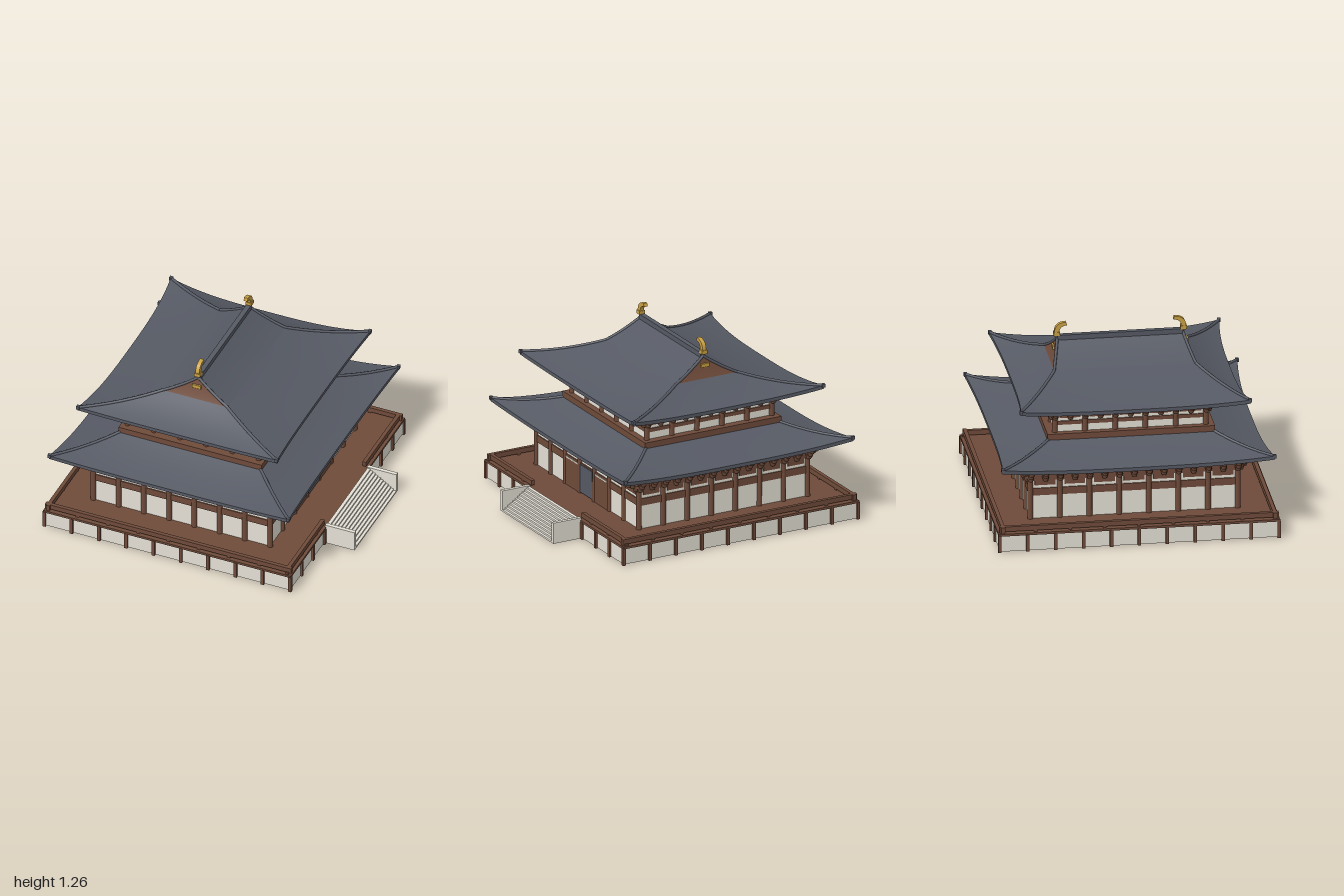
import * as THREE from 'three';
import { mergeGeometries } from 'three/addons/utils/BufferGeometryUtils.js';

const mat = (name, color) => Object.assign(new THREE.MeshStandardMaterial({ color }), { name });

export function createModel() {
  const timber = mat('brown timber', 0x6f4b3a);
  const tile = mat('slate tile', 0x565a64);
  const plaster = mat('pale plaster', 0xe5e1d6);
  const gold = mat('gold', 0xcba244);
  const model = new THREE.Group();
  const hall = new THREE.Group();
  hall.name = 'hall';
  hall.position.x = -0.1;
  model.add(hall);

  const add = (name, geo, material, parent = hall) => {
    const m = new THREE.Mesh(geo, material);
    m.name = name;
    parent.add(m);
    return m;
  };
  const merge = (name, list, material, parent) => add(name, mergeGeometries(list), material, parent);
  // box given by its centre in x and z and its bottom and top height
  const block = (w, d, y0, y1, x = 0, z = 0) =>
    new THREE.BoxGeometry(w, y1 - y0, d).translate(x, (y0 + y1) / 2, z);
  const spread = (n, half) => Array.from({ length: n }, (_, i) => -half + (2 * half * i) / (n - 1));
  // the four sides: 0 front, 1 left, 2 back, 3 right
  const sides = (hx, hz) => [0, 1, 2, 3].map(k => ({
    k, along: k % 2 ? hz : hx, out: k % 2 ? hx : hz, angle: (k * Math.PI) / 2,
  }));
  const lerp = THREE.MathUtils.lerp;
  const mix = (a, b, t) => a.map((c, i) => lerp(c, b[i], t));

  // surface patch from a rule f(u in -1..1, v in 0..1), turned to its side
  const patch = (f, angle, nu = 24, nv = 8) => {
    const pos = [], idx = [];
    for (let j = 0; j <= nv; j++) for (let i = 0; i <= nu; i++) pos.push(...f((2 * i) / nu - 1, j / nv));
    for (let j = 0; j < nv; j++) for (let i = 0; i < nu; i++) {
      const a = j * (nu + 1) + i, b = a + nu + 1;
      idx.push(a, a + 1, b + 1, a, b + 1, b);
    }
    const g = new THREE.BufferGeometry();
    g.setAttribute('position', new THREE.Float32BufferAttribute(pos, 3));
    g.setIndex(idx);
    g.computeVertexNormals();
    return g.rotateY(angle);
  };

  // ---- platform: hollow plinth of panels and posts under a deck ----
  add('platformDeck', block(1.79, 1.884, 0.115, 0.131), timber);
  const panels = [], posts = [], rails = [];
  for (const s of sides(0.888, 0.934)) {
    panels.push(block(2 * s.along, 0.01, 0.004, 0.115, 0, s.out - 0.008).rotateY(s.angle));
    for (const p of spread(s.k % 2 ? 11 : 10, s.along))
      posts.push(block(0.022, 0.022, 0, 0.12, p, s.out).rotateY(s.angle));
    // low railing, open where the stairs arrive
    const edge = s.along - 0.012, open = s.k === 1;
    for (const p of spread(9, edge)) if (!open || Math.abs(p) > 0.34)
      rails.push(block(0.022, 0.022, 0.13, 0.145, p, s.out - 0.024).rotateY(s.angle));
    for (const c of open ? [-1, 1] : [0])
      rails.push(block(open ? edge - 0.34 : 2 * edge + 0.026, 0.026, 0.141, 0.175, c * (edge + 0.34) / 2, s.out - 0.024)
        .rotateY(s.angle));
  }
  merge('platformPanels', panels, plaster);
  merge('platformPosts', posts, timber);
  merge('railing', rails, timber);

  // ---- stairs ----
  const steps = [], n = 11, w = 0.205 / n;
  for (let i = 0; i < n; i++) {
    const top = 0.138 * (1 - i / n);
    steps.push(block(w + 0.004, 0.67, Math.max(0, top - 0.016), top, 0.795 + (i + 0.5) * w - 0.002));
  }
  merge('steps', steps, plaster, model);
  merge('stairCheeks', [-1, 1].map(s => block(0.212, 0.026, 0, 0.146, 0.894, s * 0.345)), plaster, model);

  // ---- storeys: plaster walls, columns, beams and stepped brackets ----
  function storey(name, hx, hz, cols, h) {
    const g = new THREE.Group();
    g.name = name;
    hall.add(g);
    const ring = (grow, y0, y1) => block(2 * (hx + grow), 2 * (hz + grow), y0, y1);
    add('walls', ring(0, h.base, h.top + 0.01), plaster, g);
    merge('beams', [ring(0.008, ...h.beam), ring(0.008, h.frieze, h.top + 0.012)], timber, g);
    const columns = [], planks = [], brackets = [];
    for (const s of sides(hx, hz)) {
      const place = (wide, depth, y0, y1, p, o) => block(wide, depth, y0, y1, p, s.out + o).rotateY(s.angle);
      const cup = (y, p, o) => new THREE.CylinderGeometry(0.024, 0.015, 0.03, 10)
        .translate(p, y, s.out + o).rotateY(s.angle);
      const gap = (2 * s.along) / (cols - 1);
      spread(cols, s.along).slice(0, -1).forEach(p => {
        columns.push(new THREE.CylinderGeometry(0.018, 0.019, h.top - h.base, 12)
          .translate(p, (h.top + h.base) / 2, s.out).rotateY(s.angle));
        planks.push(place(gap - 0.06, 0.016, h.plank, h.frieze + 0.005, p + gap / 2, 0));
      });
      for (const p of spread(2 * cols - 1, s.along)) {
        brackets.push(
          place(0.04, 0.09, h.top - 0.03, h.top, p, 0.04),
          place(0.034, 0.06, h.top - 0.06, h.top - 0.03, p, 0.025),
          place(0.034, 0.035, h.top - 0.095, h.top - 0.06, p, 0.012),
          cup(h.top - 0.045, p, 0.068), cup(h.top - 0.072, p, 0.045), cup(h.top - 0.098, p, 0.022));
      }
      // diagonal corner arm
      [[0.2, 0.03], [0.14, 0.06], [0.08, 0.09]].forEach(([len, d]) =>
        brackets.push(block(len, 0.03, h.top - d, h.top - d + 0.03).rotateY(-Math.PI / 4)
          .translate(s.along, 0, s.out).rotateY(s.angle)));
    }
    merge('columns', columns, timber, g);
    merge('hangingPlanks', planks, timber, g);
    merge('brackets', brackets, timber, g);
  }
  storey('lowerStorey', 0.639, 0.694, 8, { base: 0.13, beam: [0.295, 0.345], plank: 0.367, frieze: 0.4, top: 0.515 });
  storey('upperStorey', 0.473, 0.505, 6, { base: 0.665, beam: [0.722, 0.748], plank: 0.77, frieze: 0.79, top: 0.878 });
  add('upperBalcony', block(1.034, 1.12, 0.59, 0.672), timber);

  // ---- doorway facing the stairs ----
  const door = (name, wide, y0, y1, z, x, m) => add(name, block(0.009, wide, y0, y1, x, z), m);
  for (const s of [-1, 1]) {
    door('doorPanel', 0.195, 0.131, 0.323, s * 0.198, 0.646, timber);
    door('doorTrim', 0.16, 0.322, 0.331, s * 0.198, 0.647, plaster);
  }
  door('doorOpening', 0.166, 0.14, 0.335, 0, 0.648, tile);

  // ---- sweeping hipped roofs ----
  function roof(name, r) {
    const g = new THREE.Group();
    g.name = name;
    hall.add(g);
    const surf = s => (u, v) => {
      const q = Math.abs(u) ** 3;
      const [a1, o1] = s.k % 2 ? [r.top[1], r.top[0]] : r.top;
      return [u * lerp(s.along, a1, v),
        lerp(r.y0, r.y1, 0.65 * v + 0.35 * v * v) + r.lift * q * (1 - v) ** 2,
        lerp(s.out, o1, v) - 0.037 * (1 - q) * (1 - v)];
    };
    const tiles = [], fascia = [], soffit = [], hips = [];
    for (const s of sides(...r.eave)) {
      const f = surf(s);
      const [wa, wo] = s.k % 2 ? [r.wall[1], r.wall[0]] : r.wall;
      const low = u => { const p = f(u, 0); return [p[0], p[1] - 0.025, p[2]]; };
      tiles.push(patch(f, s.angle));
      fascia.push(patch((u, v) => mix(low(u), f(u, 0), v), s.angle, 24, 1));
      soffit.push(patch((u, v) => mix([u * wa, r.wallY, wo], low(u), v), s.angle, 24, 3));
      // rounded ridge along the hip
      const pts = spread(9, 0.5).map(t => new THREE.Vector3(...f(1, t + 0.5)));
      hips.push(new THREE.TubeGeometry(new THREE.CatmullRomCurve3(pts), 16, 0.0105, 8).rotateY(s.angle),
        block(0.022, 0.022, pts[0].y - 0.014, pts[0].y + 0.01, pts[0].x - 0.004, pts[0].z - 0.004).rotateY(s.angle));
    }
    merge('roofTiles', tiles, tile, g);
    merge('eaveEdge', fascia, tile, g);
    merge('soffit', soffit, timber, g);
    merge('hipRidges', hips, tile, g);
  }
  roof('lowerRoof', { eave: [0.867, 0.912], top: [0.5, 0.545], wall: [0.63, 0.685], y0: 0.53, y1: 0.637, lift: 0.043, wallY: 0.528 });
  roof('upperRoof', { eave: [0.722, 0.77], top: [0.235, 0.475], wall: [0.465, 0.495], y0: 0.885, y1: 1.01, lift: 0.038, wallY: 0.89 });

  // ---- steep gabled crown of the upper roof ----
  const slope = (u, v) => [u * lerp(0.475, 0.42, v), 1.01 + 0.14 * (0.75 * v + 0.25 * v * v), lerp(0.235, 0, v)];
  merge('crownTiles', [1, 3].map(k => patch(slope, (k * Math.PI) / 2, 4, 8)), tile);
  const gable = (u, v) => {
    const p = slope(1, v);
    return [u * p[2], p[1] - 0.004, p[0] + 0.002];
  };
  merge('gables', [0, 2].map(k => patch(gable, (k * Math.PI) / 2, 2, 8)), timber);
  const verges = [1, 3].flatMap(k => [-1, 1].map(u => {
    const pts = spread(6, 0.5).map(t => new THREE.Vector3(...slope(u, t + 0.5)));
    return new THREE.TubeGeometry(new THREE.CatmullRomCurve3(pts), 10, 0.01, 8).rotateY((k * Math.PI) / 2);
  }));
  merge('vergeRidges', verges, tile);
  add('mainRidge', block(0.034, 0.84, 1.12, 1.172), tile);

  // ---- gilded finials and gable plaques ----
  const horn = new THREE.Shape();
  horn.moveTo(0.44, 1.165);
  horn.lineTo(0.44, 1.205);
  horn.quadraticCurveTo(0.43, 1.262, 0.362, 1.262);
  horn.lineTo(0.355, 1.24);
  horn.quadraticCurveTo(0.405, 1.238, 0.408, 1.195);
  horn.lineTo(0.408, 1.165);
  const hornGeo = new THREE.ExtrudeGeometry(horn, { depth: 0.028, bevelEnabled: false, curveSegments: 8 })
    .translate(0, 0, -0.014).rotateY(-Math.PI / 2);
  for (const k of [0, 1]) {
    const end = new THREE.Group();
    end.name = 'ridgeEnd';
    end.rotation.y = k * Math.PI;
    hall.add(end);
    add('finial', hornGeo, gold, end);
    add('finialBase', block(0.04, 0.042, 1.168, 1.194, 0, 0.424), gold, end);
    add('gablePlaque', block(0.062, 0.012, 1.08, 1.105, 0, 0.449), gold, end);
  }
  return model;
}
